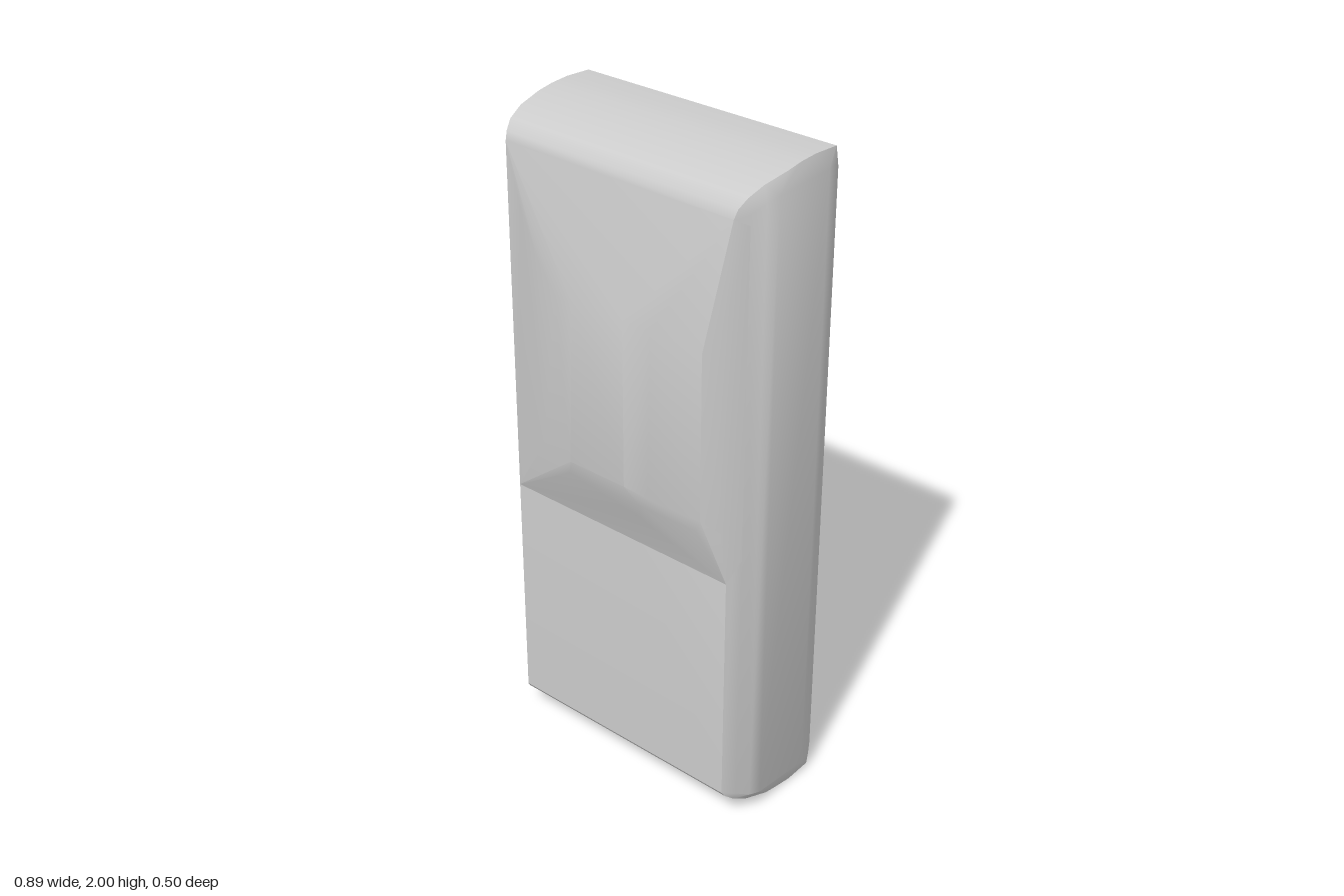
import * as THREE from 'three';
import { ConvexGeometry } from 'three/addons/geometries/ConvexGeometry.js';
import { toCreasedNormals } from 'three/addons/utils/BufferGeometryUtils.js';

const material = new THREE.MeshStandardMaterial({ color: 0xcccccc });

// convex solid through a handful of [x, y, z] points
function hull(name, points, crease) {
  const geometry = new ConvexGeometry(points.map(p => new THREE.Vector3(...p)));
  const mesh = new THREE.Mesh(toCreasedNormals(geometry, crease), material);
  mesh.name = name;
  return mesh;
}

// copies points to both sides of x = 0
const mirror = points => points.flatMap(([x, y, z]) => [[x, y, z], [-x, y, z]]);

export function createModel() {
  const group = new THREE.Group();
  group.name = 'roundedSlab';

  // slab body: upright walls [x, z, bottom y, top y]
  const walls = [
    [0.395, 0.165, 0.10, 1.90], [0.42, 0.13, 0.09, 1.91], [0.438, 0.09, 0.07, 1.93],
    [0.445, 0.05, 0.06, 1.94], [0.445, -0.15, 0.05, 1.95], [0.435, -0.195, 0.05, 1.95],
    [0.42, -0.22, 0.07, 1.93], [0.395, -0.231, 0.08, 1.92],
  ];
  // rounded ends [x, z, bottom y, top y]
  const ends = [
    [0.40, 0.155, 0.085, 1.925], [0.41, 0.13, 0.065, 1.95], [0.42, 0.08, 0.04, 1.972],
    [0.43, 0.0, 0.018, 1.988], [0.43, -0.05, 0.01, 1.996], [0.43, -0.11, 0.003, 2.0],
    [0.43, -0.195, 0.01, 1.996],
  ];
  const body = [...walls, ...ends].flatMap(([x, z, low, high]) => [[x, low, z], [x, high, z]]);
  group.add(hull('body', mirror(body), 0.55));

  // raised panel on the upper front, fuller on the left side
  group.add(hull('frontBulge', [
    ...mirror([[0.395, 0.83, 0.165], [0.395, 1.90, 0.165], [0.39, 0.85, 0.1], [0.39, 1.89, 0.1]]),
    [0.42, 0.9, 0.13], [0.42, 1.88, 0.13],
    [0.39, 1.0, 0.185], [0.385, 1.6, 0.19],
    [0.35, 1.04, 0.224], [0.35, 1.54, 0.225], [0.33, 1.0, 0.218],
    [0.18, 1.05, 0.243], [0.19, 1.56, 0.243],
    [0.1, 1.06, 0.25], [0.1, 1.56, 0.25], [-0.1, 1.06, 0.25], [-0.08, 1.55, 0.251],
    [-0.12, 1.01, 0.235], [0.15, 1.01, 0.235], [0.12, 0.96, 0.218], [-0.15, 0.96, 0.212],
    [-0.15, 1.55, 0.242], [-0.23, 1.06, 0.221], [-0.23, 1.62, 0.221],
    [-0.33, 1.0, 0.188], [-0.32, 1.74, 0.192],
  ], 0.3));

  // shallow pyramid on the lower back
  group.add(hull('backBulge', [
    ...mirror([[0.39, 0.08, -0.23], [0.39, 0.83, -0.23], [0.38, 0.1, -0.18], [0.38, 0.81, -0.18],
      [0.2, 0.77, -0.243]]),
    [0.02, 0.73, -0.254], [0.0, 0.78, -0.248],
  ], 0.12));

  return group;
}
